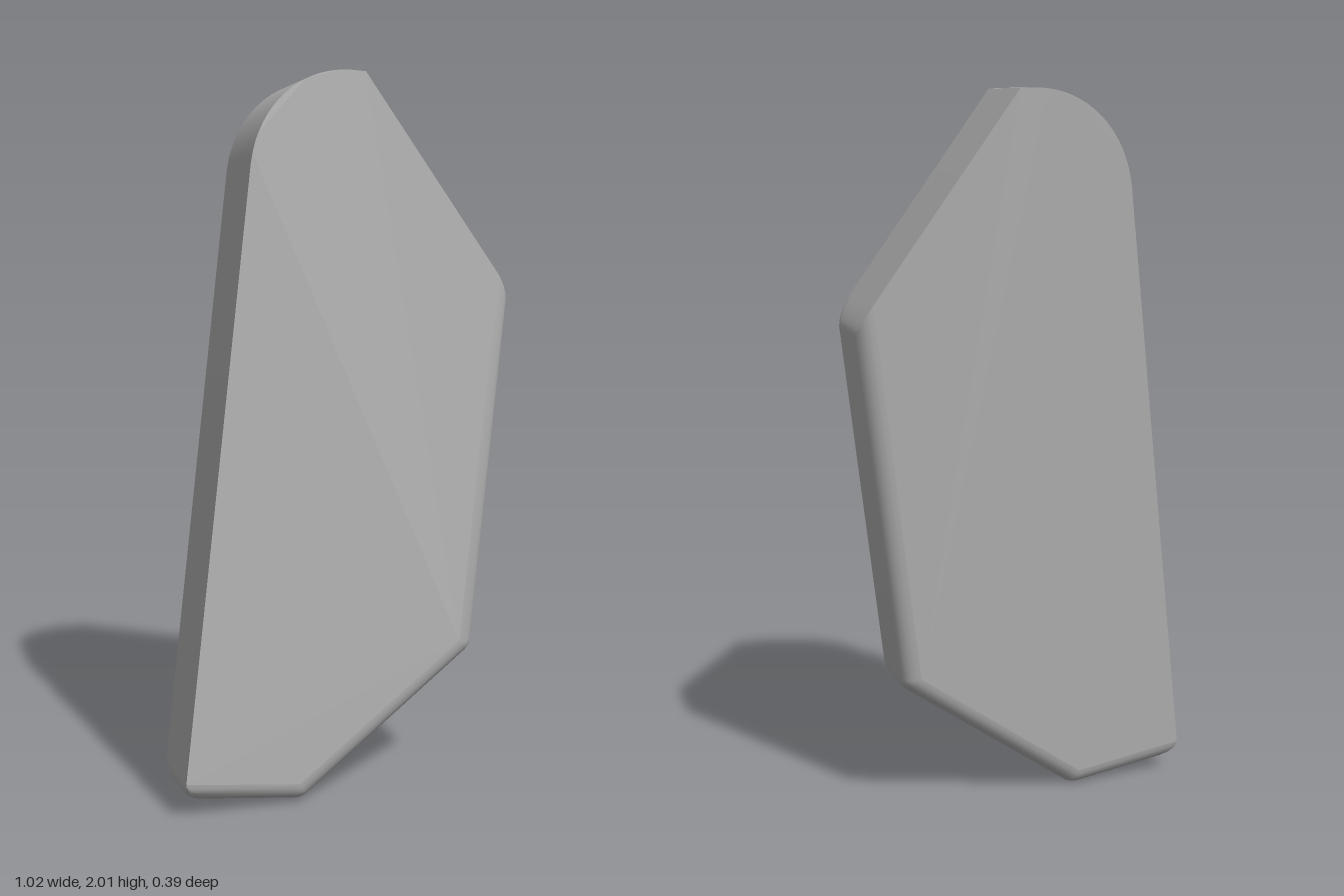
import * as THREE from 'three';
import { toCreasedNormals } from 'three/addons/utils/BufferGeometryUtils.js';

const V = (x, y) => new THREE.Vector2(x, y);
const THICK = 0.227, ROUND = 0.052;

// Corners of the flat face, inside the rounded edges
const L = V(-0.51, 0.1), B = V(-0.19, 0.056), C = V(0.3, 0.41), R = V(0.443, 1.45);
const TIP = V(0.06, 1.997), SHOULDER = V(-0.27, 1.75);

const dir = (a, b) => b.clone().sub(a).normalize();
const outward = d => V(d.y, -d.x);

// The slab leans: z = a + b x + c y on the front, thickness runs along its normal
const lean = { a: 0.175, b: 0.135, c: -0.0614 };
const normal = new THREE.Vector3(-lean.b, -lean.c, 1).normalize();
const place = (p, depth) =>
  new THREE.Vector3(p.x, p.y, lean.a + lean.b * p.x + lean.c * p.y).addScaledVector(normal, -depth);

// Round corner between two rounded edges
function roundCorner(p, n1, n2, r) {
  const a1 = n1.angle(), turn = (n2.angle() - a1 + Math.PI * 2) % (Math.PI * 2);
  return Array.from({ length: 5 }, (_, i) => {
    const a = a1 + turn * i / 4;
    return V(p.x + r * Math.cos(a), p.y + r * Math.sin(a));
  });
}

// Corner where a sharp side (direction d) runs into a rounded edge (direction e, normal n)
function sharpCorner(p, d, n, e, length, r) {
  const mid = p.clone().addScaledVector(d, r / d.dot(n));
  const end = mid.clone().addScaledVector(e, length * r);
  return new THREE.QuadraticBezierCurve(p, mid, end).getPoints(5);
}

// Closed outline, counter-clockwise, with its rounded edges pushed out by r
function outline(r) {
  const e1 = dir(L, B), e2 = dir(B, C), e3 = dir(C, R);
  const n1 = outward(e1), n2 = outward(e2), n3 = outward(e3);
  const arch = new THREE.CubicBezierCurve(V(0.01, 2), V(-0.13, 2), V(-0.245, 1.9), SHOULDER);
  return [
    ...sharpCorner(L, dir(SHOULDER, L), n1, e1, 1.1, r),
    ...roundCorner(B, n1, n2, r),
    ...roundCorner(C, n2, n3, r),
    ...sharpCorner(R, dir(TIP, R), n3, e3.clone().negate(), 0.4, r).reverse(),
    TIP, ...arch.getPoints(16),
  ];
}

function fromTriangles(points, crease) {
  const g = new THREE.BufferGeometry().setFromPoints(points);
  g.computeVertexNormals();
  return toCreasedNormals(g, crease);
}

// Edge wall: loops from the front face, round the fillets, to the back face
function wallGeometry() {
  const steps = 6, rings = [];
  for (let i = 0; i <= steps; i++) {
    const t = (i / steps) * Math.PI / 2;
    rings.push([ROUND * Math.sin(t), ROUND * (1 - Math.cos(t))]);
  }
  for (let i = steps; i >= 0; i--) rings.push([rings[i][0], THICK - rings[i][1]]);
  const loops = rings.map(([r, depth]) => outline(r).map(p => place(p, depth)));
  const tris = [];
  const add = (a, b, c) => {
    const area = b.clone().sub(a).cross(c.clone().sub(a)).length();
    if (area > 1e-9) tris.push(a, b, c);
  };
  for (let k = 0; k + 1 < loops.length; k++) {
    const f = loops[k], b = loops[k + 1];
    for (let i = 0; i < f.length; i++) {
      const j = (i + 1) % f.length;
      add(f[i], b[i], f[j]);
      add(f[j], b[i], b[j]);
    }
  }
  return fromTriangles(tris, 0.5);
}

// Flat face at a given depth
function faceGeometry(depth, flip) {
  const pts = outline(0).filter((p, i, all) => i === 0 || p.distanceTo(all[i - 1]) > 1e-5);
  if (pts[pts.length - 1].distanceTo(pts[0]) < 1e-5) pts.pop();
  const tris = [];
  for (const [a, b, c] of THREE.ShapeUtils.triangulateShape(pts, [])) {
    const order = flip ? [a, c, b] : [a, b, c];
    order.forEach(i => tris.push(place(pts[i], depth)));
  }
  return fromTriangles(tris, 0.1);
}

export function createModel() {
  const group = new THREE.Group();
  group.name = 'slab';
  const grey = new THREE.MeshStandardMaterial({ color: 0xb0b0b0 });
  grey.name = 'grey';
  const parts = {
    edgeWall: wallGeometry(),
    frontFace: faceGeometry(0, false),
    backFace: faceGeometry(THICK, true),
  };
  for (const [name, geometry] of Object.entries(parts)) {
    const mesh = new THREE.Mesh(geometry, grey);
    mesh.name = name;
    group.add(mesh);
  }
  return group;
}
